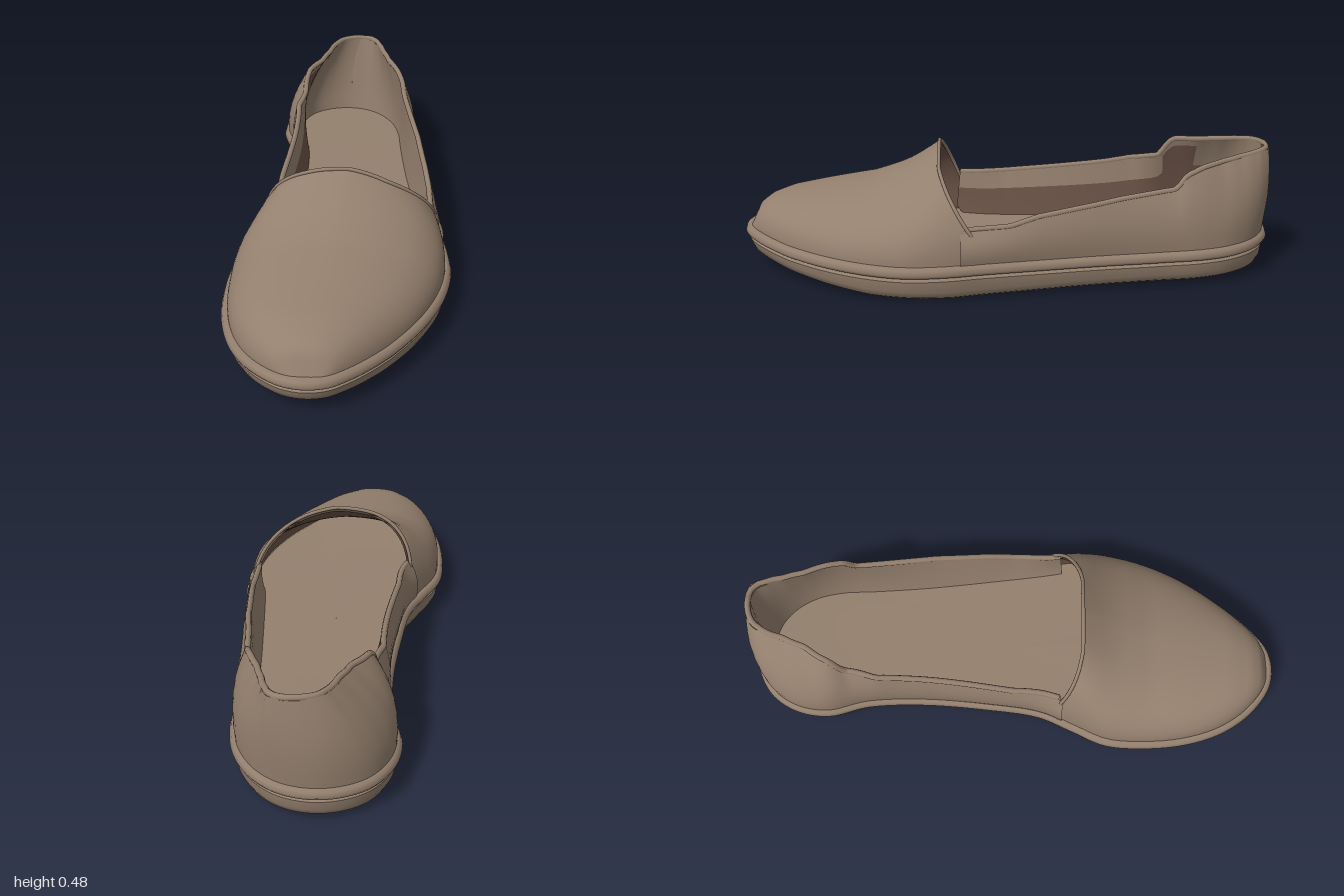
import * as THREE from 'three';
import { toCreasedNormals } from 'three/addons/utils/BufferGeometryUtils.js';

// Piecewise linear lookup; table rows are [z, value] with z ascending
function lookup(table, z) {
  if (z <= table[0][0]) return table[0][1];
  for (let i = 1; i < table.length; i++) {
    const [z0, a] = table[i - 1], [z1, b] = table[i];
    if (z <= z1) return a + (b - a) * (z - z0) / (z1 - z0);
  }
  return table[table.length - 1][1];
}

// Surface through rows of points; closed joins the last column to the first.
// Cells for which pick(corner, row) is false are left out.
function loft(rows, closed, pick = () => true) {
  const n = rows[0].length, index = [];
  for (let r = 0; r + 1 < rows.length; r++) {
    for (let c = 0; c < (closed ? n : n - 1); c++) {
      if (!pick(rows[r][c], r)) continue;
      const a = r * n + c, b = r * n + (c + 1) % n;
      index.push(a, b, a + n, b, b + n, a + n);
    }
  }
  const geometry = new THREE.BufferGeometry();
  geometry.setAttribute('position', new THREE.Float32BufferAttribute(
    rows.flat().flatMap((p) => [p.x, p.y, p.z]), 3));
  geometry.setIndex(index);
  geometry.computeVertexNormals();
  return geometry;
}

// Plan outline of the welt: [z, left edge x, right edge x]
const PLAN = [
  [0.985, -0.155, -0.005], [0.945, -0.22, 0.055], [0.88, -0.285, 0.125], [0.78, -0.345, 0.21],
  [0.65, -0.385, 0.297], [0.5, -0.4, 0.363], [0.35, -0.39, 0.394], [0.22, -0.335, 0.39],
  [0.1, -0.285, 0.37], [-0.1, -0.258, 0.342], [-0.35, -0.243, 0.31], [-0.55, -0.255, 0.292],
  [-0.7, -0.295, 0.28], [-0.82, -0.28, 0.245], [-0.92, -0.22, 0.175], [-0.98, -0.125, 0.085],
];
const outline = new THREE.CatmullRomCurve3([
  new THREE.Vector3(-0.08, 0, 1),
  ...PLAN.map(([z, , r]) => new THREE.Vector3(r, 0, z)),
  new THREE.Vector3(-0.02, 0, -1),
  ...PLAN.slice().reverse().map(([z, l]) => new THREE.Vector3(l, 0, z)),
], true).getSpacedPoints(220).slice(0, -1);

// Outline moved inwards along its plan normal
function insetOutline(d) {
  const n = outline.length;
  return outline.map((p, i) => {
    const a = outline[(i + n - 1) % n], b = outline[(i + 1) % n];
    const dx = b.x - a.x, dz = b.z - a.z, len = Math.hypot(dx, dz);
    return new THREE.Vector3(p.x + dz / len * d, 0, p.z - dx / len * d);
  });
}

const bottomY = (z) => lookup([[-1, 0.02], [-0.3, 0.01], [0.2, 0], [0.5, 0.006], [0.8, 0.03], [1, 0.06]], z);
const weltY = (z) => lookup([[-1, 0.105], [-0.5, 0.095], [0.4, 0.09], [0.8, 0.1], [1, 0.12]], z);
const floorY = (z) => weltY(z) + 0.035;

const ring = (d, height, scale = 1) => insetOutline(d).map((p) => {
  const x = p.x * scale, z = p.z * scale;
  return new THREE.Vector3(x, height(z), z);
});

// Height of the opening and sideways lean of the top edge, per side
const RIM_RIGHT = [[-1, 0.475], [-0.9, 0.46], [-0.7, 0.43], [-0.635, 0.405], [-0.605, 0.36],
  [-0.4, 0.337], [-0.1, 0.29], [0, 0.26], [0.15, 0.25]];
const RIM_LEFT = [[-1, 0.475], [-0.8, 0.455], [-0.66, 0.438], [-0.61, 0.37], [-0.4, 0.34],
  [0, 0.3], [0.2, 0.29]];
const LEAN_RIGHT = [[-0.98, 0.06], [-0.955, 0.01], [-0.91, -0.035], [-0.85, -0.065], [-0.78, -0.075],
  [-0.6, -0.035], [-0.3, -0.01], [0, -0.01], [0.2, -0.035]];
const LEAN_LEFT = [[-0.98, 0.06], [-0.955, 0.085], [-0.91, 0.125], [-0.83, 0.15], [-0.75, 0.14],
  [-0.63, 0.06], [-0.5, 0.01], [0, 0.005], [0.2, 0.03]];

// One level of the side wall: v runs from the floor (0) to the opening (1)
function wallRow(v, d) {
  const points = insetOutline(d).filter((p) => p.z < 0.19).map((p) => {
    const right = p.x > -0.02;
    const base = floorY(p.z);
    return new THREE.Vector3(
      p.x + lookup(right ? LEAN_RIGHT : LEAN_LEFT, p.z) * v ** 1.7,
      base + (lookup(right ? RIM_RIGHT : RIM_LEFT, p.z) - base) * v,
      p.z + Math.max(0, -p.z - 0.9) * 0.15 * v ** 2);
  });
  return new THREE.CatmullRomCurve3(points).getPoints(150);
}

// Forefoot: arched cross-sections narrowing to the toe
const RIDGE = [[0.2, 0.485], [0.25, 0.478], [0.31, 0.43], [0.38, 0.385], [0.5, 0.34], [0.7, 0.303],
  [0.82, 0.282], [0.9, 0.255], [0.94, 0.225], [0.975, 0.15]];
const vampOutline = insetOutline(0.022);
function span(z) {
  let lo = Infinity, hi = -Infinity;
  vampOutline.forEach((a, i) => {
    const b = vampOutline[(i + 1) % vampOutline.length];
    if ((a.z - z) * (b.z - z) > 0 || a.z === b.z) return;
    const x = a.x + (b.x - a.x) * (z - a.z) / (b.z - a.z);
    lo = Math.min(lo, x);
    hi = Math.max(hi, x);
  });
  return [lo, hi];
}
function vampRows(thickness) {
  const rows = [], stations = 30, columns = 48;
  for (let i = 0; i <= stations; i++) {
    const s = Math.sin(i / stations * Math.PI / 2), row = [];
    for (let c = 0; c <= columns; c++) {
      const u = Math.cos(c / columns * Math.PI);
      const arch = Math.max(0, 1 - Math.abs(u) ** (u < 0 ? 2.6 : 2.4)) ** (1 / 2.2);
      const rise = Math.min(1, Math.max(0, (arch - 0.35) / 0.6));
      const side = u > 0 ? 0.13 : 0.17;
      const edge = side + (0.25 - side) * rise;
      const z = edge + (0.974 - edge) * s;
      const [lo, hi] = span(z);
      const base = floorY(z);
      const tilt = 1 - 0.25 * Math.max(0, u) ** 1.1 * (1 - s);
      row.push(new THREE.Vector3(
        (lo + hi) / 2 + Math.max(0, (hi - lo) / 2 - thickness) * u,
        base + Math.max(0, lookup(RIDGE, z) - thickness - base) * arch * tilt, z));
    }
    rows.push(row);
  }
  return rows;
}

export function createModel() {
  const group = new THREE.Group();
  const material = (name, color) => {
    const m = new THREE.MeshStandardMaterial({ color, side: THREE.DoubleSide });
    m.name = name;
    return m;
  };
  const taupe = material('taupe leather', 0x94806e);
  const dark = material('dark brown lining', 0x6b5347);
  const add = (name, geometry, mat = taupe) => {
    const mesh = new THREE.Mesh(geometry, mat);
    mesh.name = name;
    group.add(mesh);
  };
  const piping = (name, points, radius) =>
    add(name, new THREE.TubeGeometry(new THREE.CatmullRomCurve3(points), 140, radius, 8));

  // Sole with a rounded lower edge
  add('sole', toCreasedNormals(loft([
    ...[0.001, 0.35, 0.7, 0.9].map((k) => ring(0.05, bottomY, k)),
    ring(0.05, bottomY),
    ring(0.03, (z) => bottomY(z) + 0.012),
    ring(0.019, (z) => bottomY(z) + 0.035),
    ring(0.014, (z) => weltY(z) - 0.012),
    ring(0.026, (z) => weltY(z) + 0.002),
  ], true), 0.7));

  // Welt bulging out around the sole
  add('welt', loft([
    ring(0.026, weltY),
    ring(0.007, (z) => weltY(z) + 0.004),
    ring(0, (z) => weltY(z) + 0.016),
    ring(0.006, (z) => weltY(z) + 0.033),
    ring(0.018, (z) => weltY(z) + 0.042),
    ring(0.04, (z) => weltY(z) + 0.039),
  ], true));

  // Footbed
  add('insole', loft([1, 0.8, 0.5, 0.001].map((k) => ring(0.03, floorY, k)), true));

  // Side walls and heel
  const levels = [0, 0.15, 0.3, 0.45, 0.6, 0.75, 0.9, 1];
  add('quarters', loft(levels.map((v) => wallRow(v, 0.018 - 0.012 * Math.sin(v * Math.PI))), false));
  piping('openingPiping', wallRow(1, 0.026), 0.011);

  // Inner wall, with a dark lower band and a dark heel patch on one side
  const inner = levels.slice().reverse();
  const innerRows = inner.map((v) => wallRow(v, 0.035 + 0.04 * (1 - v)));
  const isDark = (p, r) => p.x < 0 && (inner[r] <= 0.6
    ? p.z > -0.8
    : inner[r] < 1 && p.z > -0.76 && p.z < -0.63);
  add('lining', loft(innerRows, false, (p, r) => !isDark(p, r)));
  add('darkLining', loft(innerRows, false, isDark), dark);

  // Forefoot with its bound edge and dark inside
  const vamp = vampRows(0);
  add('vamp', loft(vamp, false));
  add('vampLining', loft(vampRows(0.014).map((row) => row.reverse()), false), dark);
  piping('vampEdge', vamp[0], 0.007);

  return group;
}
